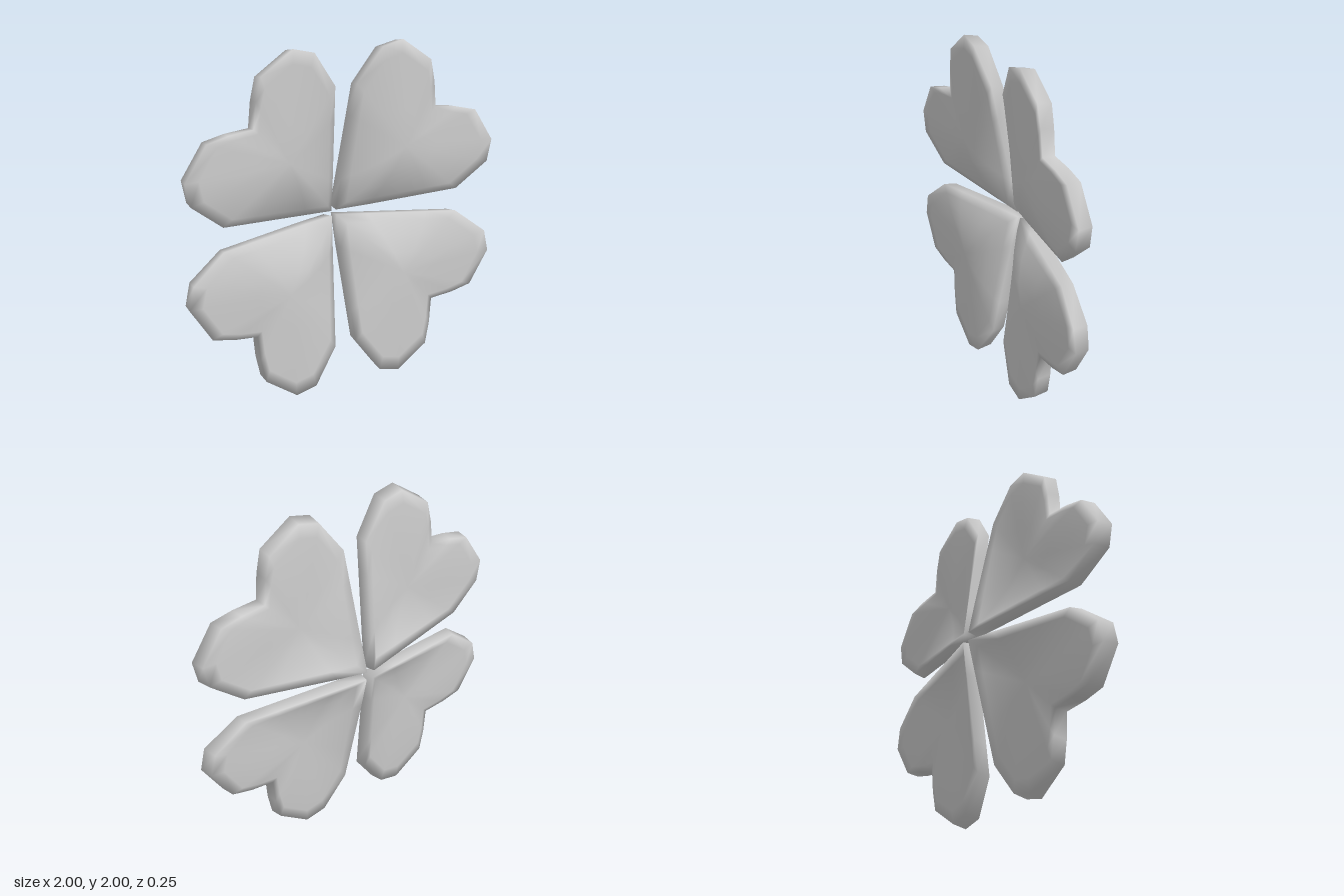
import * as THREE from 'three';
import { mergeVertices } from 'three/addons/utils/BufferGeometryUtils.js';

// Half heart outline from tip to notch: x, y, front z, back z
const TIP = [0.013, 0.017, -0.05, -0.13];
const LOBE = [
  [0.07, 0.77, 0.085, 0.01],
  [0.22, 0.97, 0.12, 0.03],
  [0.35, 1.0, 0.12, 0.035],
  [0.545, 0.87, 0.12, 0.035],
  [0.575, 0.74, 0.115, 0.035],
];
const NOTCH = [0.59, 0.59, 0.11, 0.035];
const CENTER = [0.38, 0.38, 0.125, 0.005];

const mix = (a, b, t) => a + (b - a) * t;
const mixPoint = (a, b, t) => a.map((v, i) => mix(v, b[i], t));
const swap = ([x, y, f, b]) => [y, x, f, b];

// Whole outline, counter-clockwise seen from the front
function heartOutline() {
  const side = [1, 2, 3].map((k) => mixPoint(TIP, LOBE[0], k / 4)).concat(LOBE);
  return [TIP, ...side.map(swap), NOTCH, ...side.slice().reverse()];
}

// Cupped heart plate: rings run from the front centre over the rim to the back centre
function leafGeometry() {
  const outline = heartOutline();
  const n = outline.length;
  const rings = [[0, 2], [0.35, 2], [0.65, 2], [0.87, 2], [1, 2],
    [0.975, 3], [0.85, 3], [0.65, 3], [0.35, 3], [0, 3]];
  const positions = [];
  const index = [];
  rings.forEach(([t, face]) => {
    const bend = t > 0.95 ? 1 : t * t;
    for (const p of outline) {
      positions.push(mix(CENTER[0], p[0], t), mix(CENTER[1], p[1], t), mix(CENTER[face], p[face], bend));
    }
  });
  for (let r = 0; r < rings.length - 1; r++) {
    for (let i = 0; i < n; i++) {
      const j = (i + 1) % n;
      const a = r * n, b = a + n;
      if (r < rings.length - 2) index.push(a + i, b + i, b + j);
      if (r > 0) index.push(a + i, b + j, a + j);
    }
  }
  let geometry = new THREE.BufferGeometry();
  geometry.setAttribute('position', new THREE.Float32BufferAttribute(positions, 3));
  geometry.setIndex(index);
  geometry = mergeVertices(geometry, 1e-4);
  geometry.computeVertexNormals();
  return geometry;
}

export function createModel() {
  const group = new THREE.Group();
  group.name = 'fourLeafClover';
  const material = new THREE.MeshStandardMaterial({ color: 0xcccccc });
  const geometry = leafGeometry();

  // Four equal leaves, a quarter turn apart
  ['upperLeftLeaf', 'upperRightLeaf', 'lowerRightLeaf', 'lowerLeftLeaf'].forEach((name, k) => {
    const leaf = new THREE.Mesh(geometry, material);
    leaf.name = name;
    leaf.position.y = 1;
    leaf.rotation.z = (k * Math.PI) / 2;
    group.add(leaf);
  });
  return group;
}
